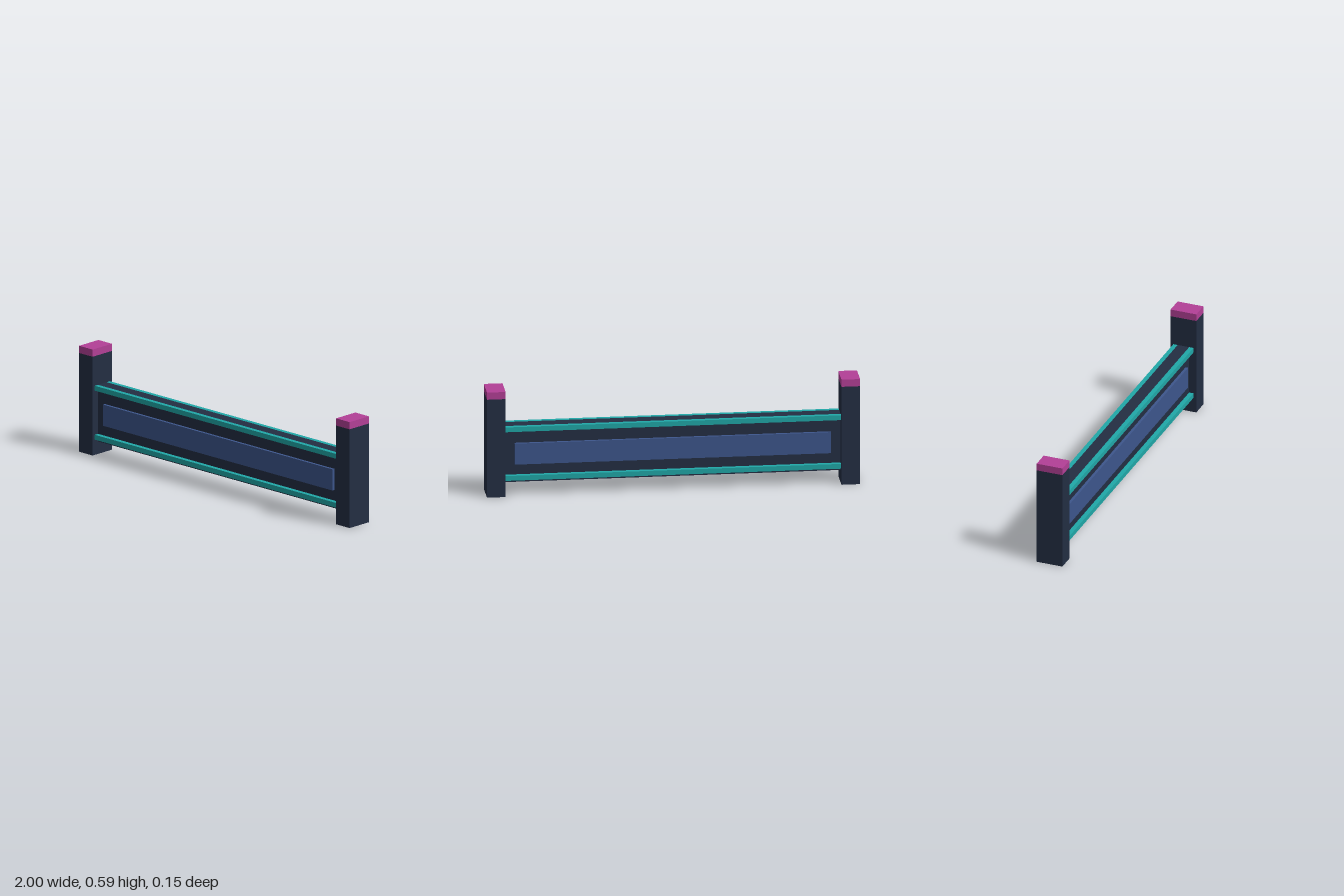
import * as THREE from 'three';

const material = (name, color) => {
  const m = new THREE.MeshStandardMaterial({ color });
  m.name = name;
  return m;
};

export function createModel() {
  const navy = material('navy', 0x232e43);
  const teal = material('teal', 0x20a8a8);
  const blue = material('blue', 0x3d568c);
  const magenta = material('magenta', 0xb34097);

  const model = new THREE.Group();
  model.name = 'barrier';

  // Box between y0 and y1, centred on x and z
  const box = (name, mat, w, y0, y1, d, x = 0, z = 0) => {
    const mesh = new THREE.Mesh(new THREE.BoxGeometry(w, y1 - y0, d), mat);
    mesh.name = name;
    mesh.position.set(x, (y0 + y1) / 2, z);
    model.add(mesh);
  };

  // Wall between the posts
  box('wall', navy, 1.8, 0.07, 0.385, 0.066);

  // End posts with coloured caps
  for (const [side, s] of [['left', 1], ['right', -1]]) {
    box(`${side}Post`, navy, 0.1, 0, 0.55, 0.148, s * 0.95);
    box(`${side}PostCap`, magenta, 0.1, 0.55, 0.59, 0.148, s * 0.95);
  }

  // Rails and raised panel on both faces of the wall
  for (const [face, s] of [['front', 1], ['back', -1]]) {
    box(`${face}TopRail`, teal, 1.8, 0.358, 0.385, 0.025, 0, s * 0.0455);
    box(`${face}BottomRail`, teal, 1.8, 0.085, 0.112, 0.025, 0, s * 0.0455);
    box(`${face}Panel`, blue, 1.696, 0.171, 0.289, 0.015, 0, s * 0.0405);
  }

  return model;
}
